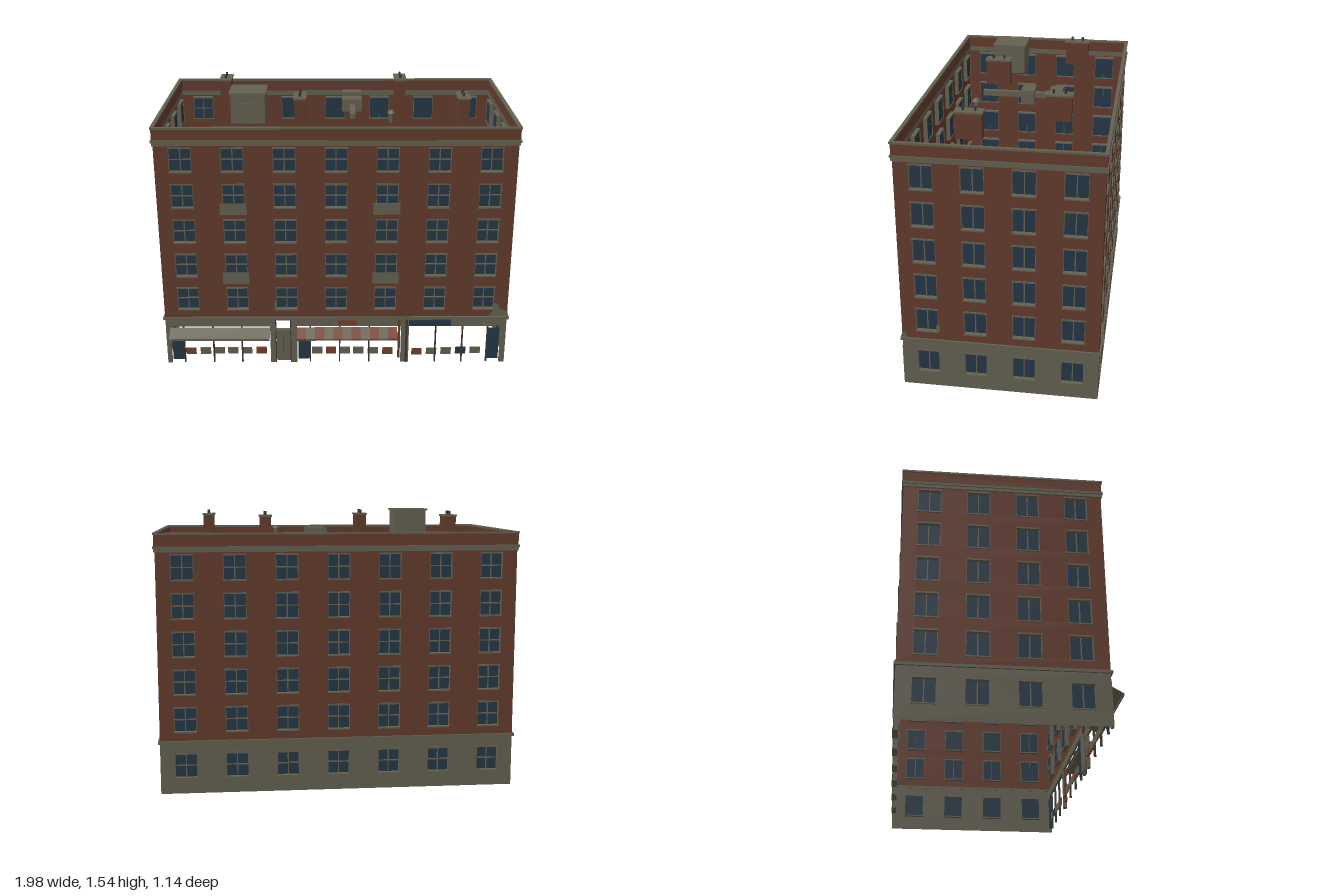
import * as THREE from 'three';
import { mergeGeometries } from 'three/addons/utils/BufferGeometryUtils.js';

const mat = (name, color, side = THREE.FrontSide) => {
  const m = new THREE.MeshStandardMaterial({ color, side });
  m.name = name;
  return m;
};

export function createModel() {
  const brick = mat('brick', 0x633b2c, THREE.DoubleSide);
  const stone = mat('stone', 0x646151, THREE.DoubleSide);
  const glass = mat('blueGlass', 0x243746, THREE.DoubleSide);
  const dark = mat('darkMetal', 0x3a382f);
  const red = mat('awningRed', 0x74402c, THREE.DoubleSide);
  const model = new THREE.Group();
  model.name = 'apartmentBuilding';

  // Box given by its minimum and maximum corners
  const box = (x0, x1, y0, y1, z0, z1) =>
    new THREE.BoxGeometry(x1 - x0, y1 - y0, z1 - z0).translate((x0 + x1) / 2, (y0 + y1) / 2, (z0 + z1) / 2);
  const add = (name, geos, material, parent = model) => {
    const list = Array.isArray(geos) ? geos : [geos];
    const mesh = new THREE.Mesh(list.length > 1 ? mergeGeometries(list) : list[0], material);
    mesh.name = name;
    parent.add(mesh);
    return mesh;
  };
  const rect = (Type, x0, x1, y0, y1) => new Type([
    new THREE.Vector2(x0, y0), new THREE.Vector2(x1, y0), new THREE.Vector2(x1, y1), new THREE.Vector2(x0, y1)]);

  // Wall sheet with window holes; wins holds [centre x, bottom y]
  const W = 0.058, H = 0.13;
  const sheet = (w, y0, y1, wins) => {
    const s = rect(THREE.Shape, -w / 2, w / 2, y0, y1);
    wins.forEach(([x, y]) => s.holes.push(rect(THREE.Path, x - W, x + W, y, y + H)));
    return new THREE.ShapeGeometry(s);
  };

  const floors = [0, 1, 2, 3, 4].map(i => 0.348 + i * 0.2075);
  const longCols = [-3, -2, -1, 0, 1, 2, 3].map(i => i * 0.28);
  const shortCols = [-0.39, -0.13, 0.13, 0.39];
  const GROUND = 0.09, BASE = 0.29;

  function facade(name, w, cols, cross, groundWindows) {
    const g = new THREE.Group();
    g.name = name;
    const upper = floors.flatMap(y => cols.map(x => [x, y]));
    const lower = groundWindows ? cols.map(x => [x, GROUND]) : [];
    add('brickWall', sheet(w, BASE, 1.36, upper), brick, g);
    if (groundWindows) add('stoneBase', sheet(w, 0, BASE, lower), stone, g);
    const panes = [], trim = [];
    [...upper, ...lower].forEach(([x, y]) => {
      const t = y + H, d = -0.024;
      panes.push(new THREE.PlaneGeometry(2 * W, H).translate(x, y + H / 2, -0.02));
      // reveals, sill and lintel
      trim.push(box(x - W - 0.003, x - W, y, t, d, 0.001), box(x + W, x + W + 0.003, y, t, d, 0.001),
        box(x - W - 0.004, x + W + 0.004, y - 0.007, y, d, 0.006),
        box(x - W - 0.004, x + W + 0.004, t, t + 0.009, d, 0.004));
      // glazing bars
      trim.push(box(x - 0.003, x + 0.003, y, t, -0.02, -0.013));
      if (cross) trim.push(box(x - W, x + W, y + 0.062, y + 0.068, -0.02, -0.013));
    });
    add('windowPanes', panes, glass, g);
    add('windowTrim', trim, stone, g);
    model.add(g);
    return g;
  }
  facade('frontFacade', 1.96, longCols, true, false).position.z = 0.5;
  const back = facade('backFacade', 1.96, longCols, true, true);
  back.position.z = -0.56;
  back.rotation.y = Math.PI;
  for (const s of [1, -1]) {
    const side = facade(s > 0 ? 'leftFacade' : 'rightFacade', 1.06, shortCols, false, true);
    side.position.set(s * 0.98, 0, -0.03);
    side.rotation.y = s * Math.PI / 2;
  }

  // Rings that run round the whole building
  const ring = (name, out, thick, y0, y1, material) => {
    const x = 0.98 + out, z = 0.53 + out;
    const s = rect(THREE.Shape, -x, x, -z, z);
    s.holes.push(rect(THREE.Path, -x + thick, x - thick, -z + thick, z - thick));
    const geo = new THREE.ExtrudeGeometry(s, { depth: y1 - y0, bevelEnabled: false });
    return add(name, geo.rotateX(-Math.PI / 2).translate(0, y0, -0.03), material);
  };
  ring('baseBand', 0.01, 0.012, 0.282, 0.298, stone);
  ring('cornice', 0.006, 0.016, 1.325, 1.343, stone);
  ring('corniceLip', 0.011, 0.021, 1.343, 1.356, stone);
  ring('parapet', 0.005, 0.015, 1.356, 1.417, brick);
  ring('coping', 0.01, 0.02, 1.417, 1.428, stone);

  // Shop fronts: fascia, piers and the house door
  const shops = new THREE.Group();
  shops.name = 'shopFronts';
  model.add(shops);
  const z0 = 0.488, z1 = 0.5;
  add('fascia', [box(-0.98, -0.365, 0.235, 0.285, z0, z1), box(-0.245, 0.98, 0.235, 0.285, z0, z1),
    box(-0.365, -0.245, 0.273, 0.285, z0, z1)], stone, shops);
  add('piers', [[-0.98, -0.955], [-0.38, -0.345], [-0.265, -0.225], [0.375, 0.42], [0.95, 0.98]]
    .map(([a, b]) => box(a, b, 0, 0.24, z0, z1 + 0.003)), stone, shops);
  add('transomSides', [box(-0.365, -0.345, 0.2, 0.28, z0, z1), box(-0.265, -0.245, 0.2, 0.28, z0, z1)], stone, shops);
  add('houseDoor', box(-0.345, -0.265, 0, 0.205, 0.475, 0.483), stone, shops);
  add('doorHead', box(-0.375, -0.235, 0.205, 0.216, z0, 0.508), stone, shops);
  add('doorFrame', [box(-0.35, -0.345, 0, 0.275, z0, 0.505), box(-0.265, -0.26, 0, 0.275, z0, 0.505),
    box(-0.306, -0.304, 0.02, 0.19, 0.482, 0.485)], dark, shops);
  add('brickPier', box(0.357, 0.37, 0.03, 0.28, z0, 0.504), brick, shops);
  add('shopPost', box(0.4, 0.412, 0, 0.28, z0, 0.508), dark, shops);
  add('blueSign', box(0.42, 0.66, 0.238, 0.275, z1, 0.507), glass, shops);
  add('redSign', box(0.01, 0.12, 0.245, 0.273, z1, 0.504), red, shops);
  add('shopDoors', [[-0.95, -0.885], [-0.22, -0.155], [0.88, 0.945]]
    .map(([a, b]) => box(a, b, 0.015, 0.215, 0.483, 0.49)), glass, shops);
  add('shopMullions', [-0.88, -0.71, -0.545, -0.15, 0.02, 0.19, 0.575, 0.73, 0.875]
    .map(x => box(x - 0.004, x + 0.004, 0, 0.235, z0, z1)), dark, shops);
  add('shopRails', [box(-0.955, -0.38, 0.18, 0.186, z0, z1), box(-0.225, 0.357, 0.18, 0.186, z0, z1)], stone, shops);

  // Small display boards behind the shop windows
  const board = x => box(x - 0.03, x + 0.03, 0.038 + 0.01 * Math.abs(Math.sin(x * 40)), 0.078 + 0.01 * Math.abs(Math.sin(x * 40)), 0.478, 0.486);
  add('redBoards', [-0.845, -0.435, -0.03, 0.3, 0.47].map(board), red, shops);
  add('stoneBoards', [-0.76, -0.68, -0.6, -0.52, -0.11, 0.05, 0.13, 0.215, 0.555, 0.64, 0.81].map(board), stone, shops);
  add('blueBoards', board(0.725), glass, shops);

  // Sloping awnings with a short front valance
  const awning = (x0, x1) => {
    const s = new THREE.Shape([[0.5, 0.228], [0.568, 0.19], [0.568, 0.178], [0.562, 0.178], [0.562, 0.188], [0.5, 0.222]]
      .map(([z, y]) => new THREE.Vector2(-z, y)));
    return new THREE.ExtrudeGeometry(s, { depth: x1 - x0, bevelEnabled: false }).rotateY(Math.PI / 2).translate(x0, 0, 0);
  };
  add('plainAwning', awning(-0.955, -0.38), stone, shops);
  const stripes = [[], []], n = 11, sw = 0.575 / n;
  for (let i = 0; i < n; i++) stripes[i % 2].push(awning(-0.225 + i * sw, -0.225 + (i + 1) * sw));
  add('awningRedStripes', stripes[0], red, shops);
  add('awningPaleStripes', stripes[1], stone, shops);

  // Balconies: floor plate and front panel
  for (const x of [-0.56, 0.275]) for (const y of [0.532, 0.947])
    add('balcony', [box(x - 0.073, x + 0.073, y, y + 0.006, 0.5, 0.55),
      box(x - 0.073, x + 0.073, y, y + 0.066, 0.545, 0.55)], stone);

  // Chimneys with cap and two pots
  const ROOF = 1.365;
  for (const [x, z] of [[-0.655, -0.265], [0.387, -0.265], [-0.2, 0.16], [0.713, 0.16]]) {
    const g = new THREE.Group();
    g.name = 'chimney';
    g.position.set(x, 0, z);
    add('stack', box(-0.031, 0.031, ROOF, 1.503, -0.07, 0.07), brick, g);
    add('cap', box(-0.036, 0.036, 1.503, 1.513, -0.076, 0.076), stone, g);
    add('pots', [-0.032, 0.032].map(p => new THREE.CylinderGeometry(0.007, 0.007, 0.022, 8).translate(0, 1.523, p)), dark, g);
    model.add(g);
  }

  // Stair housing
  add('stairHousing', box(-0.585, -0.395, ROOF, 1.53, 0.035, 0.22), stone);
  add('stairHousingRoof', box(-0.594, -0.388, 1.53, 1.54, 0.028, 0.227), stone);
  add('stairHousingDoor', box(-0.52, -0.46, ROOF, 1.48, 0.22, 0.224), stone);

  // Air units, duct and vent
  add('airUnits', [box(0.038, 0.152, ROOF, 1.438, -0.253, -0.182), box(0.038, 0.152, ROOF, 1.438, -0.098, -0.022)], stone);
  add('duct', box(0.08, 0.11, 1.385, 1.415, -0.19, 0.2), stone);
  add('roofVent', [new THREE.CylinderGeometry(0.012, 0.012, 0.06, 6).translate(0.31, 1.395, 0.2),
    new THREE.CylinderGeometry(0.012, 0.025, 0.016, 6).translate(0.31, 1.428, 0.2)], stone);

  // Bare plaster patches on the brick
  const patch = (pts) => new THREE.ShapeGeometry(new THREE.Shape(pts.map(p => new THREE.Vector2(...p))));
  add('frontPatches', [
    patch([[0.87, 0.298], [0.98, 0.298], [0.98, 0.335], [0.94, 0.345], [0.915, 0.385], [0.89, 0.375], [0.9, 0.335]]),
    patch([[-0.352, 0.34], [-0.341, 0.335], [-0.341, 0.41], [-0.35, 0.39]])].map(p => p.translate(0, 0, 0.502)), stone);
  add('sidePatches', [
    patch([[-0.5, 0.298], [-0.475, 0.298], [-0.48, 0.325], [-0.5, 0.34]]),
    patch([[-0.312, 0.345], [-0.29, 0.35], [-0.29, 0.385], [-0.302, 0.395], [-0.312, 0.38]])]
    .map(p => p.rotateY(Math.PI / 2).translate(0.982, 0, 0)), stone);
  return model;
}
